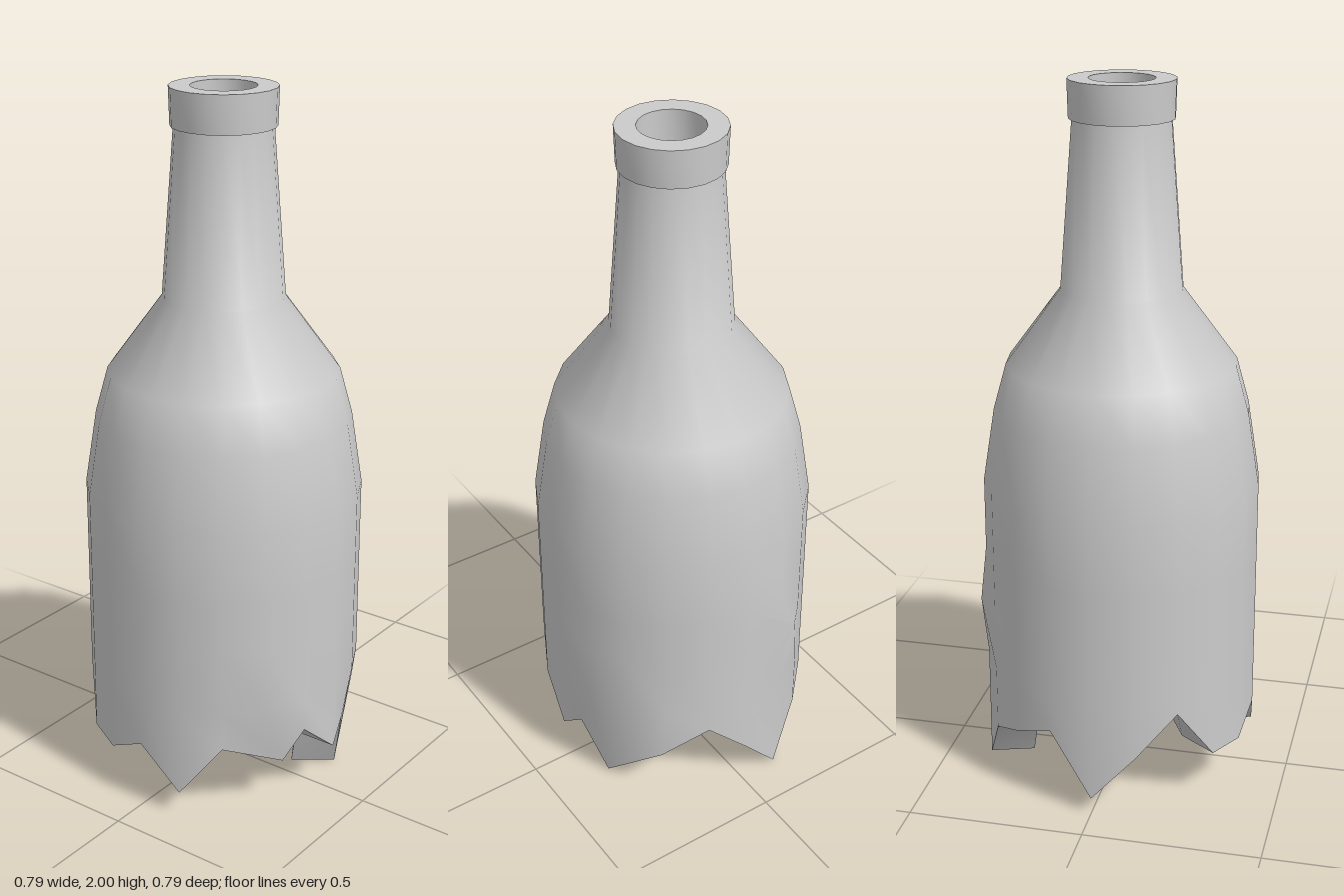
import * as THREE from 'three';
import { toCreasedNormals } from 'three/addons/utils/BufferGeometryUtils.js';

const SIDES = 20;
const OUTER = 0.393;
const INNER = 0.265;

// Height of the broken edge at each 18 degree step, from the front round past +x
const CUT = [
  0.145, 0.20, 0.005, 0.19, 0.265, 0.145, 0, 0.15, 0.195, 0.24,
  0.05, 0.18, 0.305, 0.145, 0.14, 0.2, 0.075, 0.228, 0.14, 0.25,
];
// Sideways lean [x, z] of some points of the broken edge
const LEAN = { 1: [-0.05, 0], 2: [-0.105, 0], 3: [0, 0.02], 18: [0.085, 0] };

function ring(radius, height) {
  return Array.from({ length: SIDES }, (_, k) => {
    const a = (k / SIDES) * Math.PI * 2;
    return new THREE.Vector3(radius * Math.sin(a), height, radius * Math.cos(a));
  });
}

function brokenRing(radius) {
  return ring(radius, 0).map((p, k) => {
    const [dx, dz] = LEAN[k] || [0, 0];
    return p.set(p.x + dx, CUT[k], p.z + dz);
  });
}

// Skin a list of rings
function loft(rings) {
  const index = [];
  for (let r = 0; r < rings.length - 1; r++) {
    for (let k = 0; k < SIDES; k++) {
      const n = (k + 1) % SIDES;
      const a = r * SIDES + k, b = r * SIDES + n;
      const c = b + SIDES, d = a + SIDES;
      index.push(a, b, d, b, c, d);
    }
  }
  const geometry = new THREE.BufferGeometry().setFromPoints(rings.flat());
  geometry.setIndex(index);
  return geometry;
}

export function createModel() {
  const group = new THREE.Group();
  group.name = 'brokenBottle';
  const material = new THREE.MeshStandardMaterial({ color: 0xcccccc });
  const add = (name, geometry) => {
    const mesh = new THREE.Mesh(toCreasedNormals(geometry, 0.7), material);
    mesh.name = name;
    group.add(mesh);
  };

  // Small dent pushed outwards on one side of the body
  const bulge = ring(OUTER, 0.53);
  bulge[6].set(0.375, 0.53, -0.175);

  // Thick wall: up the outside, down the inside, closed along the jagged break
  const outside = [[OUTER, 0.88], [0.36, 1.09], [0.324, 1.22], [0.17, 1.43], [0.133, 1.92]];
  const inside = [[0.09, 1.92], [0.115, 1.4], [0.21, 1.19], [0.24, 1.07], [INNER, 0.88]];
  const toRing = ([r, y]) => ring(r, y);
  add('body', loft([
    brokenRing(OUTER), ring(OUTER, 0.34), bulge, ring(OUTER, 0.67),
    ...outside.map(toRing), ...inside.map(toRing),
    ring(INNER, 0.34), brokenRing(INNER), brokenRing(OUTER),
  ]));

  // Collar round the mouth
  const lip = [[0.09, 1.895], [0.144, 1.895], [0.147, 2], [0.09, 2], [0.09, 1.895]];
  add('lip', new THREE.LatheGeometry(lip.map(([r, y]) => new THREE.Vector2(r, y)), SIDES));

  return group;
}
